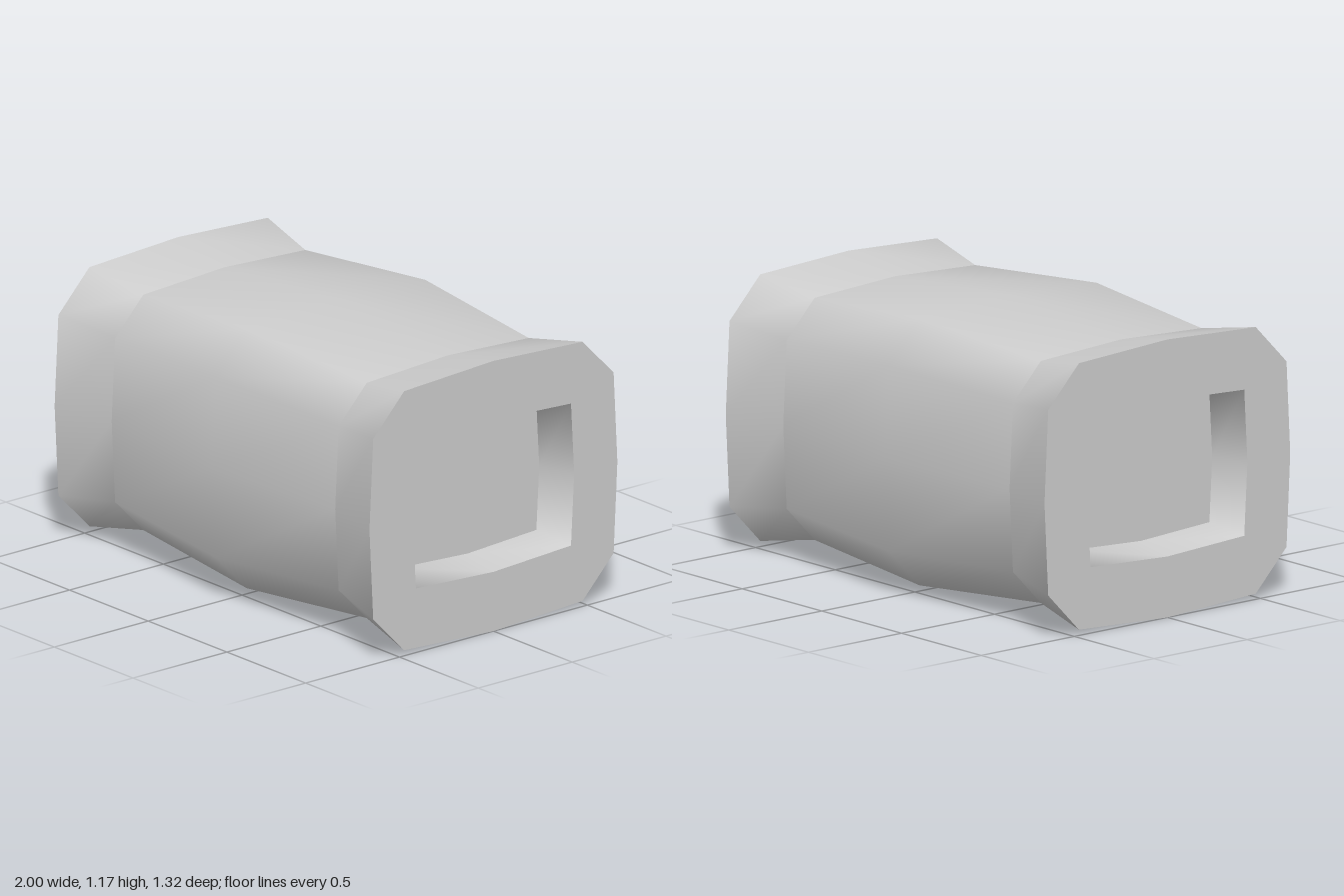
import * as THREE from 'three';

const CENTER_Y = 0.585;
const END_X = 1, WAIST_X = 0.71, WAIST_SCALE = 0.908, RECESS_DEPTH = 0.165;

// Mirror one quarter (from the side midpoint up to the top midpoint) into a full counterclockwise ring
function mirrorQuarter(quarter) {
  const half = [...quarter, ...quarter.slice(0, -1).reverse().map(([u, v]) => [-u, v])];
  const lower = half.slice(1, -1).reverse().map(([u, v]) => [u, -v]);
  return [...half, ...lower];
}

const bodyRing = mirrorQuarter([[0.66, 0], [0.64, 0.39], [0.475, 0.56], [0, 0.584]]);
const openingRing = mirrorQuarter([[0.43, 0], [0.413, 0.307], [0, 0.328]]);
const floorRing = mirrorQuarter([[0.382, 0], [0.367, 0.273], [0, 0.293]]);

// Smooth skin through rings placed along x; each section is { x, ring, scale }
function loft(sections) {
  const n = sections[0].ring.length;
  const positions = [], index = [];
  sections.forEach(({ x, ring, scale = 1 }, s) => {
    ring.forEach(([u, v], i) => {
      positions.push(x, v * scale, -u * scale);
      if (s === sections.length - 1) return;
      const a = s * n + i, b = s * n + (i + 1) % n;
      index.push(a, b, a + n, b, b + n, a + n);
    });
  });
  const geometry = new THREE.BufferGeometry();
  geometry.setAttribute('position', new THREE.Float32BufferAttribute(positions, 3));
  geometry.setIndex(index);
  geometry.computeVertexNormals();
  return geometry;
}

// Flat plate facing +x, with an optional opening
function plate(ring, x, hole) {
  const toPoints = (r) => r.map(([u, v]) => new THREE.Vector2(u, v));
  const shape = new THREE.Shape(toPoints(ring));
  if (hole) shape.holes.push(new THREE.Path(toPoints(hole)));
  return new THREE.ShapeGeometry(shape).rotateY(Math.PI / 2).translate(x, 0, 0);
}

export function createModel() {
  const model = new THREE.Group();
  model.name = 'sleeve';
  const material = new THREE.MeshStandardMaterial({ color: 0xcccccc });
  const add = (parent, name, geometry) => {
    const mesh = new THREE.Mesh(geometry, material);
    mesh.name = name;
    parent.add(mesh);
  };

  const body = new THREE.Group();
  body.name = 'body';
  body.position.y = CENTER_Y;
  model.add(body);

  // Bulging barrel between the two waists
  add(body, 'barrel', loft([
    { x: -WAIST_X, ring: bodyRing, scale: WAIST_SCALE },
    { x: 0, ring: bodyRing },
    { x: WAIST_X, ring: bodyRing, scale: WAIST_SCALE },
  ]));

  // Flared end with a recessed socket, turned around for the other side
  for (const [name, turn] of [['leftEnd', 0], ['rightEnd', Math.PI]]) {
    const end = new THREE.Group();
    end.name = name;
    end.rotation.y = turn;
    body.add(end);
    const floorX = END_X - RECESS_DEPTH;
    add(end, 'flare', loft([
      { x: WAIST_X, ring: bodyRing, scale: WAIST_SCALE },
      { x: END_X, ring: bodyRing },
    ]));
    add(end, 'rim', plate(bodyRing, END_X, openingRing));
    add(end, 'socketWall', loft([
      { x: END_X, ring: openingRing },
      { x: floorX, ring: floorRing },
    ]));
    add(end, 'socketFloor', plate(floorRing, floorX));
  }
  return model;
}
